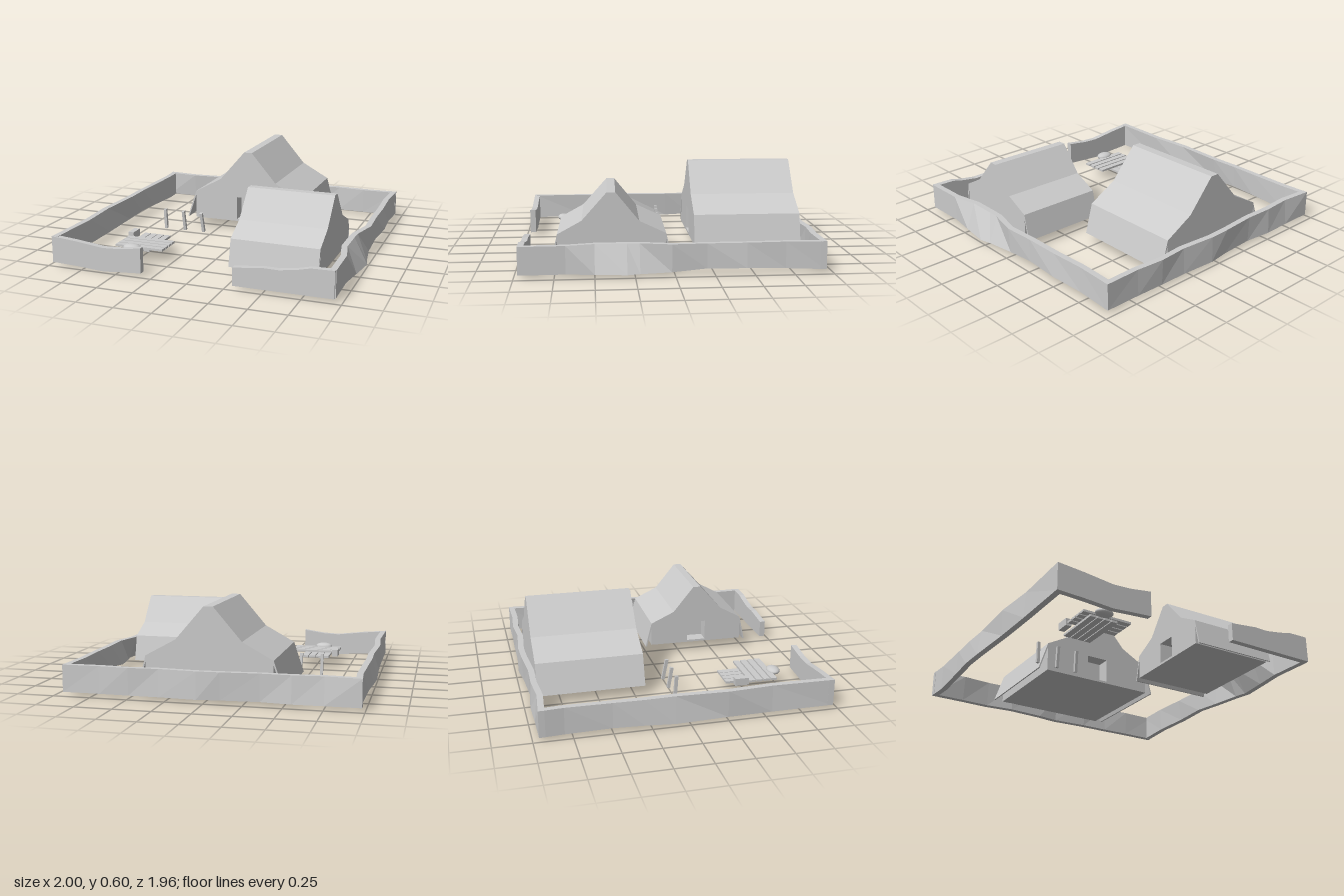
import * as THREE from 'three';

const material = new THREE.MeshStandardMaterial({ color: 0xcccccc, flatShading: true });

function add(parent, name, geometry, x = 0, y = 0, z = 0) {
  const mesh = new THREE.Mesh(geometry, material);
  mesh.name = name;
  mesh.position.set(x, y, z);
  parent.add(mesh);
  return mesh;
}

const toShape = (pts) => new THREE.Shape(pts.map(([x, y]) => new THREE.Vector2(x, y)));
const prism = (shape, depth) => new THREE.ExtrudeGeometry(shape, { depth, bevelEnabled: false });

// Tent-roofed house along local z; the doorway is in the +z gable.
function makeHouse(name, roof, length, door, flaps) {
  const house = new THREE.Group();
  house.name = name;
  const recess = 0.1, floor = 0.07;
  const first = roof[0], last = roof[roof.length - 1];
  const outline = [[first[0], floor], ...roof, [last[0], floor]];
  add(house, name + 'Body', prism(toShape(outline), length - recess), 0, 0, -length / 2);
  const gable = toShape(outline);
  const [x0, x1, y0, y1] = door;
  gable.holes.push(new THREE.Path([[x0, y0], [x1, y0], [x1, y1], [x0, y1]].map((p) => new THREE.Vector2(...p))));
  add(house, name + 'Doorway', prism(gable, recess), 0, 0, length / 2 - recess);
  // Thin eaves hanging down and outward on both sides
  [[first, flaps[0]], [last, flaps[1]]].forEach(([top, end], i) => {
    const t = i ? -0.01 : 0.01;
    const strip = toShape([top, end, [end[0] + t, end[1]], [top[0] + t, top[1]]]);
    add(house, name + 'Eave', prism(strip, length), 0, 0, -length / 2);
  });
  return house;
}

// Uneven wall. Rows: [distance, top offset, bottom offset, top y, bottom y]
function wallGeometry(rows, alongX) {
  const h = 0.02, pos = [];
  const point = (t, off, y) => (alongX ? [t, y, off] : [off, y, t]);
  const rings = rows.map(([t, top, bot, yt, yb]) => [
    point(t, bot - h, yb), point(t, bot + h, yb), point(t, top + h, yt), point(t, top - h, yt)]);
  const quad = (a, b, c, d) => {
    const q = alongX ? [a, b, c, a, c, d] : [a, c, b, a, d, c];
    q.forEach((p) => pos.push(...p));
  };
  for (let i = 0; i < rings.length - 1; i++) {
    for (let k = 0; k < 4; k++) {
      const n = (k + 1) % 4;
      quad(rings[i][k], rings[i + 1][k], rings[i + 1][n], rings[i][n]);
    }
  }
  quad(...rings[0]);
  quad(...rings[rings.length - 1].slice().reverse());
  const g = new THREE.BufferGeometry();
  g.setAttribute('position', new THREE.Float32BufferAttribute(pos, 3));
  g.computeVertexNormals();
  return g;
}

export function createModel() {
  const model = new THREE.Group();
  model.name = 'homestead';

  // Large house at the back
  const large = makeHouse('largeHouse',
    [[-0.43, 0.275], [-0.23, 0.385], [-0.045, 0.6], [0.015, 0.6], [0.2, 0.385], [0.4, 0.275]],
    0.73, [-0.1, 0.06, 0.085, 0.255], [[-0.5, 0.07], [0.455, 0.07]]);
  large.position.set(0, 0, -0.545);
  model.add(large);

  // Small house at the front, turned sideways and slightly askew
  const small = makeHouse('smallHouse',
    [[-0.345, 0.24], [-0.175, 0.32], [-0.025, 0.505], [0.03, 0.505], [0.19, 0.325], [0.345, 0.24]],
    0.6, [-0.07, 0.07, 0.085, 0.23], [[-0.39, 0.06], [0.385, 0.06]]);
  small.position.set(0.5, 0, 0.385);
  small.rotation.y = -Math.PI / 2 - 0.0167;
  model.add(small);

  // Boundary wall
  add(model, 'leftWall', wallGeometry([
    [-0.95, 0.93, 0.93, 0.2, 0.02], [-0.7, 0.92, 0.925, 0.2, 0.03], [-0.45, 0.93, 0.945, 0.2, 0.04],
    [-0.2, 0.93, 0.93, 0.2, 0.04], [0.02, 0.94, 0.93, 0.2, 0.02], [0.22, 0.892, 0.96, 0.2, 0.02],
    [0.3, 0.89, 0.98, 0.2, 0.02], [0.5, 0.89, 0.955, 0.2, 0.02], [0.68, 0.93, 0.93, 0.2, 0.02],
    [0.96, 0.935, 0.935, 0.2, 0.02]], false));
  add(model, 'rightWall', wallGeometry([
    [-0.95, -0.96, -0.96, 0.2, 0.02], [-0.8, -0.95, -0.95, 0.2, 0.02], [-0.5, -0.955, -0.96, 0.2, 0.03],
    [-0.3, -0.96, -0.975, 0.2, 0.03], [-0.1, -0.955, -0.98, 0.2, 0.02], [0.25, -0.97, -0.965, 0.2, 0.02],
    [0.55, -0.95, -0.96, 0.2, 0.02], [0.96, -0.96, -0.96, 0.2, 0.02]], false));
  add(model, 'backWall', wallGeometry([
    [-0.98, -0.94, -0.94, 0.2, 0.02], [-0.75, -0.92, -0.94, 0.2, 0.02], [-0.55, -0.935, -0.945, 0.2, 0.02],
    [-0.35, -0.93, -0.925, 0.2, 0.02], [-0.1, -0.95, -0.94, 0.2, 0.02], [0.05, -0.955, -0.96, 0.2, 0.02],
    [0.3, -0.935, -0.945, 0.2, 0.02], [0.5, -0.95, -0.945, 0.2, 0.02], [0.7, -0.935, -0.94, 0.2, 0.02],
    [0.95, -0.94, -0.94, 0.2, 0.02]], true));
  const frontZ = 0.955;
  const front = (rows) => wallGeometry(rows.map(([x, yt, yb]) => [x, frontZ, frontZ, yt, yb]), true);
  add(model, 'frontWallRight', front([[-0.98, 0.2, 0.02], [-0.8, 0.185, 0.013], [-0.6, 0.162, 0],
    [-0.48, 0.168, 0.01], [-0.33, 0.19, 0.02]]));
  add(model, 'frontWallLeft', front([[0.3, 0.14, 0.02], [0.42, 0.153, 0.02], [0.5, 0.162, 0.02],
    [0.6, 0.16, 0.02], [0.72, 0.178, 0.02], [0.8, 0.197, 0.02], [0.95, 0.2, 0.02]]));

  // Leaning posts
  [[-0.6, 0.06, 0.02], [-0.45, 0.15, 0.03], [-0.305, 0.17, 0.06]].forEach(([x, tiltX, tiltZ]) => {
    const post = add(model, 'post', new THREE.BoxGeometry(0.02, 0.15, 0.022), x, 0.09, 0.005);
    post.rotation.set(tiltX, 0, tiltZ);
  });

  // Plank pile with a block and a rounded stone
  const pile = new THREE.Group();
  pile.name = 'plankPile';
  model.add(pile);
  for (let i = 0; i < 4; i++) {
    add(pile, 'lowerPlank', new THREE.BoxGeometry(0.045, 0.015, 0.34), -0.576 + i * 0.051, 0.077, 0.53);
    add(pile, 'upperPlank', new THREE.BoxGeometry(0.35, 0.015, 0.042), -0.477, 0.093, 0.53 + i * 0.052);
  }
  add(pile, 'block', new THREE.BoxGeometry(0.042, 0.05, 0.095), -0.64, 0.1, 0.453);
  const stone = add(pile, 'stone', new THREE.SphereGeometry(1, 20, 12), -0.515, 0.1, 0.728);
  stone.scale.set(0.063, 0.025, 0.045);
  stone.material = new THREE.MeshStandardMaterial({ color: 0xcccccc });
  return model;
}
